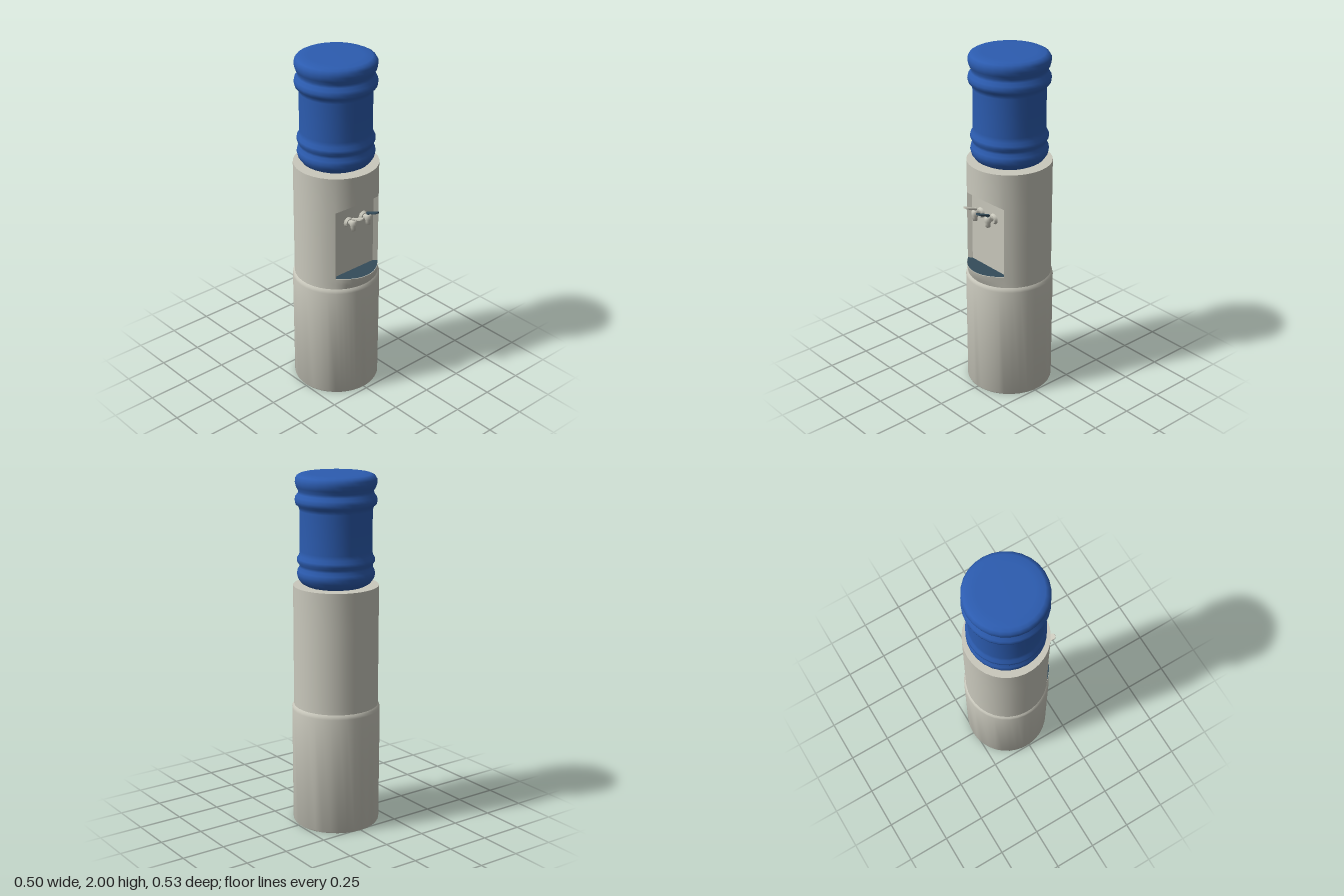
import * as THREE from 'three';
import { toCreasedNormals } from 'three/addons/utils/BufferGeometryUtils.js';

const mat = (name, color, side = THREE.FrontSide) =>
  Object.assign(new THREE.MeshStandardMaterial({ color, side }), { name });

const CZ = -0.018;                    // centre of the column in z
const R = 0.238;                      // upper column radius
const A0 = Math.asin(0.159 / R);      // half angle of the front niche
const FRONT = 12, BACK = 26;          // columns across the niche / around the rest
const NICHE_Z = CZ + R * Math.cos(A0);

// Angles around the column, measured from the front: niche first, then the rest
const angles = [];
for (let i = 0; i < FRONT; i++) angles.push(-A0 + (2 * A0 * i) / FRONT);
for (let i = 0; i < BACK; i++) angles.push(A0 + ((2 * Math.PI - 2 * A0) * i) / BACK);

const bulgeAt = a => 0.025 * Math.max(0, 1 - (Math.sin(a) / Math.sin(A0)) ** 2);

// One point of a column row; kind tells how the front span is shaped
function columnPoint({ y, r, kind, bulge = 0 }, i) {
  const a = angles[i];
  const p = new THREE.Vector3(r * Math.sin(a), y, CZ + r * Math.cos(a));
  if (i <= FRONT) {
    if (kind === 'niche') p.z = NICHE_Z - (i === 0 || i === FRONT ? 0 : 0.018);
    if (kind === 'lip') p.y += 0.65 * (p.z - NICHE_Z);
    p.z += bulge * bulgeAt(a);
  }
  return p;
}

function columnGeometry(rows) {
  const n = angles.length, pos = [], index = [];
  rows.forEach(row => angles.forEach((_, i) => pos.push(...columnPoint(row, i).toArray())));
  for (let k = 0; k < rows.length - 1; k++) {
    for (let i = 0; i < n; i++) {
      const a = k * n + i, b = k * n + (i + 1) % n;
      index.push(a, b, a + n, b, b + n, a + n);
    }
  }
  const g = new THREE.BufferGeometry();
  g.setAttribute('position', new THREE.Float32BufferAttribute(pos, 3));
  g.setIndex(index);
  return toCreasedNormals(g, 0.6);
}

export function createModel() {
  const model = new THREE.Group();
  model.name = 'waterCooler';
  const shell = mat('warm grey plastic', 0xc9c8bc);
  const blue = mat('blue bottle', 0x2c5cb0);
  const slate = mat('dark slate plastic', 0x344c5a, THREE.DoubleSide);

  const add = (parent, name, geometry, material, x = 0, y = 0, z = 0) => {
    const m = new THREE.Mesh(geometry, material);
    m.name = name;
    m.position.set(x, y, z);
    parent.add(m);
    return m;
  };

  // Column with stepped base, drip ledge, niche and overhanging lip
  const ledge = { y: 0.767, r: R, bulge: 1 };
  add(model, 'column', columnGeometry([
    { y: 0, r: 0 },
    { y: 0, r: 0.243 },
    { y: 0.008, r: 0.247 },
    { y: 0.675, r: 0.249 },
    { y: 0.69, r: 0.246 },
    { y: 0.7, r: R },
    { y: 0.725, r: R, bulge: 0.45 },
    { y: 0.75, r: R, bulge: 0.85 },
    ledge,
    { y: 0.767, r: R, kind: 'niche' },
    { y: 1.18, r: R, kind: 'niche' },
    { y: 1.18, r: R, kind: 'lip' },
    { y: 1.385, r: R },
    { y: 1.385, r: 0 },
  ]), shell);

  // Drip tray: thin dark surface on the ledge
  const tray = [];
  for (let i = 0; i <= FRONT; i++) {
    const p = columnPoint(ledge, i);
    tray.push(new THREE.Vector2(p.x, -p.z + 0.002));
  }
  tray.push(new THREE.Vector2(0.136, 0.018 - NICHE_Z), new THREE.Vector2(-0.136, 0.018 - NICHE_Z));
  const trayGeometry = new THREE.ShapeGeometry(new THREE.Shape(tray)).rotateX(-Math.PI / 2);
  add(model, 'dripTray', trayGeometry, slate, 0, 0.769, 0);

  // Upturned bottle with two pairs of rounded ribs
  const profile = [
    [0, 1.385], [0.165, 1.385], [0.192, 1.4], [0.21, 1.425], [0.216, 1.45], [0.212, 1.47],
    [0.202, 1.488], [0.204, 1.503], [0.215, 1.52], [0.214, 1.538], [0.203, 1.555], [0.2, 1.58],
    [0.2, 1.8], [0.206, 1.822], [0.222, 1.835], [0.226, 1.855], [0.222, 1.875], [0.208, 1.892],
    [0.206, 1.908], [0.218, 1.928], [0.224, 1.95], [0.223, 1.972], [0.213, 1.988], [0.195, 1.997],
    [0.15, 2], [0, 2],
  ].map(([r, y]) => new THREE.Vector2(r, y));
  add(model, 'bottle', new THREE.LatheGeometry(profile, 28), blue, 0, 0, CZ);

  // Lever paddle: narrow at the tap, wide and rounded at the tip
  const paddle = new THREE.Shape();
  paddle.moveTo(-0.009, 0);
  paddle.lineTo(0.009, 0);
  paddle.lineTo(0.018, 0.072);
  paddle.absarc(0, 0.072, 0.018, 0, Math.PI, false);
  paddle.lineTo(-0.009, 0);
  const paddleGeometry = new THREE.ExtrudeGeometry(paddle, { depth: 0.007, bevelEnabled: false, curveSegments: 8 });
  paddleGeometry.rotateX(Math.PI / 2);

  // Taps
  const spout = [[0, -0.034], [0.013, -0.034], [0.015, -0.012], [0.02, 0], [0.02, 0.02], [0.012, 0.028], [0, 0.028]]
    .map(([r, y]) => new THREE.Vector2(r, y));
  [['right', -1, shell], ['left', 1, slate]].forEach(([side, s, leverMaterial]) => {
    const tap = new THREE.Group();
    tap.name = side + 'Tap';
    tap.position.set(s * 0.055, 1.085, 0.187);
    model.add(tap);
    add(tap, 'collar', new THREE.CylinderGeometry(0.024, 0.031, 0.016, 16).rotateX(Math.PI / 2), shell, 0, 0, -0.036);
    add(tap, 'neck', new THREE.CylinderGeometry(0.014, 0.014, 0.04, 12).rotateX(Math.PI / 2), shell, 0, 0.006, -0.018);
    add(tap, 'spout', new THREE.LatheGeometry(spout, 14), shell);
    add(tap, 'leverPin', new THREE.CylinderGeometry(0.008, 0.01, 0.016, 10), leverMaterial, 0, 0.032, 0);
    add(tap, 'lever', paddleGeometry, leverMaterial, 0, 0.037, -0.008).rotation.x = -0.36;
  });

  return model;
}
